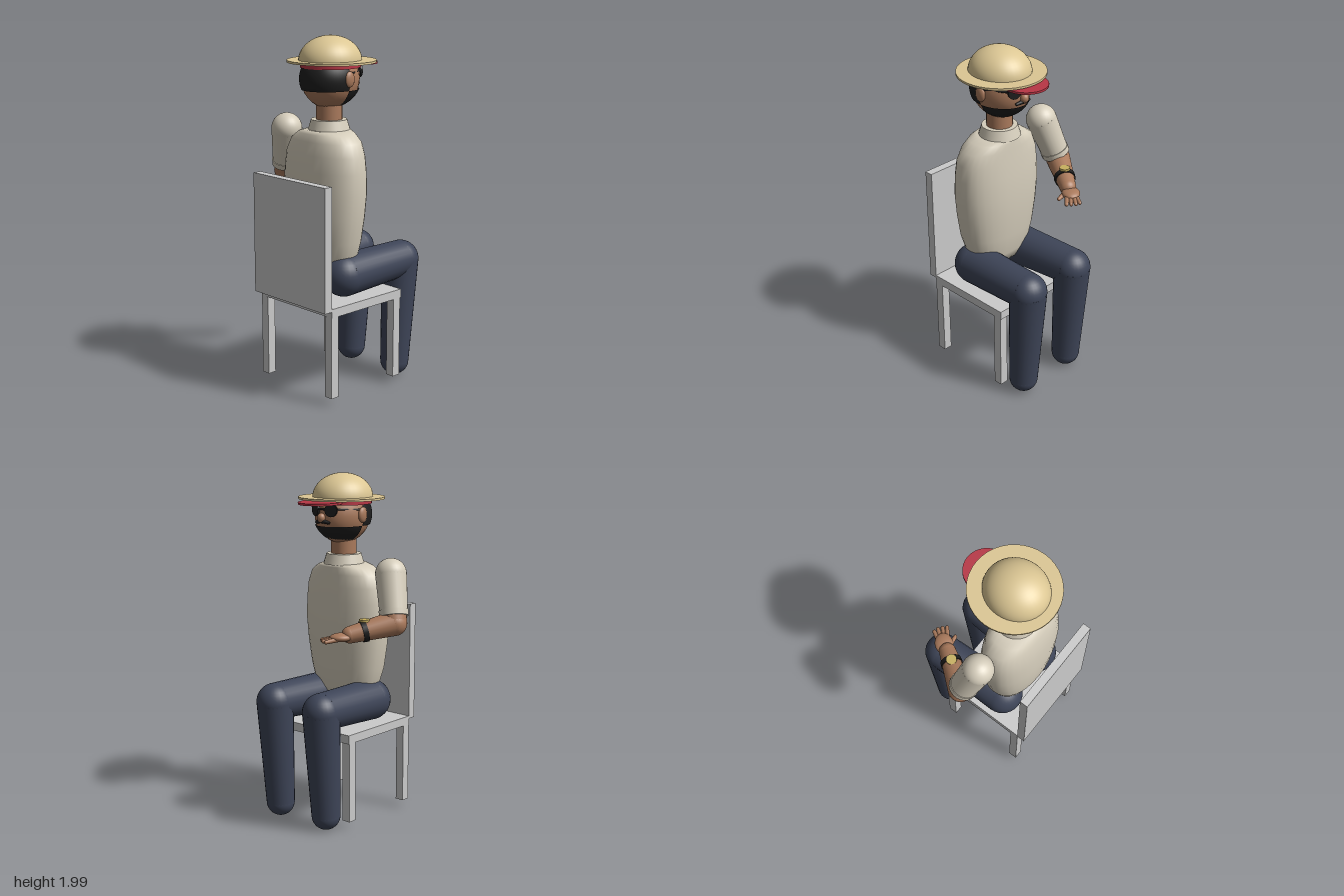
import * as THREE from 'three';

const mat = (color) => new THREE.MeshStandardMaterial({ color, side: THREE.DoubleSide });
const V = (x, y, z) => new THREE.Vector3(x, y, z);

export function createModel() {
  const root = new THREE.Group();
  const grey = mat(0xcccccc), skin = mat(0xaa7a5c), shirt = mat(0xd6cebc), denim = mat(0x3e4558);
  const straw = mat(0xdcc794), red = mat(0xb83645), black = mat(0x1e1e1e), gold = mat(0xc8b060);

  const add = (name, geo, material, x = 0, y = 0, z = 0, parent = root) => {
    const m = new THREE.Mesh(geo, material);
    m.name = name;
    m.position.set(x, y, z);
    parent.add(m);
    return m;
  };
  const ball = (name, material, p, r, sx = 1, sy = 1, sz = 1, parent = root) => {
    const m = add(name, new THREE.SphereGeometry(r, 28, 18), material, p.x, p.y, p.z, parent);
    m.scale.set(sx, sy, sz);
    return m;
  };
  // Tapered cylinder running from a to b
  const rod = (name, material, a, b, ra, rb, parent = root) => {
    const d = b.clone().sub(a);
    const mid = a.clone().add(b).multiplyScalar(0.5);
    const m = add(name, new THREE.CylinderGeometry(rb, ra, d.length(), 24), material, mid.x, mid.y, mid.z, parent);
    m.quaternion.setFromUnitVectors(V(0, 1, 0), d.normalize());
    return m;
  };

  // Chair
  const chair = new THREE.Group();
  chair.name = 'chair';
  root.add(chair);
  add('chairSeat', new THREE.BoxGeometry(0.58, 0.05, 0.545), grey, 0.1, 0.54, 0.083, chair);
  add('chairBack', new THREE.BoxGeometry(0.58, 0.69, 0.05), grey, 0.1, 0.895, 0.38, chair);
  for (const x of [-0.163, 0.363])
    for (const z of [0.33, -0.157])
      add('chairLeg', new THREE.BoxGeometry(0.052, 0.465, 0.052), grey, x, 0.2825, z, chair);

  // Legs
  for (const s of [-1, 1]) {
    const leg = new THREE.Group();
    leg.name = s < 0 ? 'rightLeg' : 'leftLeg';
    root.add(leg);
    const hip = V(0.1 + s * 0.165, 0.69, 0.145);
    const knee = V(0.1 + s * 0.18, 0.705, -0.297);
    const foot = V(0.1 + s * 0.18, 0.09, -0.26);
    ball('hip', denim, hip, 0.12, 1, 1, 1, leg);
    rod('thigh', denim, hip, knee, 0.12, 0.107, leg);
    ball('knee', denim, knee, 0.107, 1, 1, 1, leg);
    rod('shin', denim, knee, foot, 0.107, 0.083, leg);
    ball('foot', denim, foot, 0.083, 1, 1, 1, leg);
  }

  // Torso lofted through rounded sections: y, half width, half depth, centre z
  const sections = [
    [0.7, 0.001, 0.001, 0.13], [0.7, 0.17, 0.1, 0.13], [0.76, 0.205, 0.125, 0.13], [0.88, 0.24, 0.148, 0.135],
    [1.02, 0.262, 0.159, 0.134], [1.15, 0.275, 0.162, 0.132], [1.27, 0.273, 0.155, 0.13],
    [1.36, 0.262, 0.147, 0.128], [1.43, 0.232, 0.135, 0.122], [1.47, 0.175, 0.127, 0.117],
    [1.487, 0.12, 0.117, 0.11], [1.49, 0.001, 0.001, 0.1],
  ];
  const N = 32, pos = [], idx = [];
  sections.forEach(([y, w, d, cz], i) => {
    for (let j = 0; j < N; j++) {
      const a = (j / N) * Math.PI * 2, c = Math.cos(a), s = Math.sin(a), e = 0.88;
      pos.push(0.1 + w * Math.sign(c) * Math.abs(c) ** e, y, cz + d * Math.sign(s) * Math.abs(s) ** e);
      if (i) {
        const p = (i - 1) * N, q = i * N, k = (j + 1) % N;
        idx.push(p + j, q + j, p + k, p + k, q + j, q + k);
      }
    }
  });
  const torso = new THREE.BufferGeometry();
  torso.setAttribute('position', new THREE.Float32BufferAttribute(pos, 3));
  torso.setIndex(idx);
  torso.computeVertexNormals();
  add('torso', torso, shirt);
  add('collar', new THREE.CylinderGeometry(0.1, 0.118, 0.06, 28), shirt, 0.1, 1.512, 0.1);
  add('neck', new THREE.CylinderGeometry(0.073, 0.073, 0.16, 24), skin, 0.1, 1.57, 0.1);

  // Head, facing -z
  const head = new THREE.Group();
  head.name = 'head';
  head.position.set(0.1, 1.765, 0.09);
  root.add(head);
  ball('skull', skin, V(0, 0, 0), 0.165, 0.89, 1, 1.06, head);
  const shell = (name, phi, t0, t1) => {
    const m = add(name, new THREE.SphereGeometry(0.169, 28, 12, phi, Math.PI, t0, t1 - t0), black, 0, 0, 0, head);
    m.scale.set(0.93, 0.95, 1.08);
  };
  shell('hair', 0, 1.0, 1.94);
  shell('beard', Math.PI, 1.94, Math.PI);
  for (const s of [-1, 1]) {
    ball('ear', skin, V(s * 0.15, 0.005, 0), 0.042, 0.42, 1.05, 0.8, head);
    const lens = add('sunglassLens', new THREE.CylinderGeometry(0.037, 0.037, 0.014, 24), black, s * 0.057, 0.035, -0.164, head);
    lens.rotation.set(Math.PI / 2, 0, s * 0.35);
    rod('sunglassArm', black, V(s * 0.09, 0.042, -0.145), V(s * 0.15, 0.035, -0.005), 0.006, 0.006, head);
    rod('moustache', black, V(0, -0.025, -0.182), V(s * 0.05, -0.036, -0.168), 0.013, 0.008, head);
  }
  rod('sunglassBridge', black, V(-0.03, 0.04, -0.175), V(0.03, 0.04, -0.175), 0.006, 0.006, head);
  ball('nose', skin, V(0, -0.008, -0.183), 0.024, 1, 1.1, 1, head);

  // Red cap under the straw hat
  const band = add('capBand', new THREE.CylinderGeometry(0.162, 0.162, 0.03, 32), red, 0.1, 1.842, 0.09);
  band.scale.z = 1.06;
  const visor = add('capVisor', new THREE.CylinderGeometry(0.125, 0.125, 0.012, 32), red, 0.1, 1.841, -0.1);
  add('hatBrim', new THREE.CylinderGeometry(0.247, 0.247, 0.012, 40), straw, 0.1, 1.86, 0.08);
  const crown = add('hatCrown', new THREE.SphereGeometry(0.168, 36, 14, 0, Math.PI * 2, 0, Math.PI / 2), straw, 0.1, 1.86, 0.091);
  crown.scale.set(1, 0.833, 1.08);
  visor.rotation.x = -0.02;

  // Right arm, bent across the front
  const arm = new THREE.Group();
  arm.name = 'rightArm';
  root.add(arm);
  const shoulder = V(-0.243, 1.452, 0.108), elbow = V(-0.322, 1.19, 0.045), wrist = V(-0.178, 1.138, -0.165);
  const at = (a, b, t) => a.clone().lerp(b, t);
  ball('shoulder', shirt, shoulder, 0.089, 1, 1, 1, arm);
  rod('sleeve', shirt, shoulder, at(shoulder, elbow, 0.82), 0.089, 0.079, arm);
  rod('sleeveCuff', shirt, at(shoulder, elbow, 0.74), at(shoulder, elbow, 0.86), 0.084, 0.082, arm);
  rod('upperArm', skin, at(shoulder, elbow, 0.7), elbow, 0.072, 0.07, arm);
  ball('elbow', skin, elbow, 0.071, 1, 1, 1, arm);
  rod('forearm', skin, elbow, wrist, 0.071, 0.048, arm);
  ball('wrist', skin, wrist, 0.048, 1, 1, 1, arm);

  // Watch
  rod('watchBand', black, at(elbow, wrist, 0.64), at(elbow, wrist, 0.75), 0.062, 0.06, arm);
  add('watchFace', new THREE.CylinderGeometry(0.03, 0.03, 0.014, 24), gold, -0.224, 1.214, -0.097, arm);

  // Open hand
  const palm = ball('palm', skin, V(-0.152, 1.127, -0.212), 0.055, 0.95, 0.45, 1.15, arm);
  palm.rotation.y = -0.7;
  const digits = [
    [-0.162, -0.235, -0.125, -0.305], [-0.147, -0.235, -0.1, -0.298],
    [-0.132, -0.225, -0.079, -0.282], [-0.119, -0.213, -0.06, -0.264],
    [-0.14, -0.18, -0.075, -0.192],
  ];
  digits.forEach(([x0, z0, x1, z1], i) => {
    const name = i < 4 ? 'finger' : 'thumb';
    const a = V(x0, 1.122, z0), b = V(x1, 1.11, z1);
    rod(name, skin, a, b, 0.015, 0.011, arm);
    ball(name + 'Base', skin, a, 0.015, 1, 1, 1, arm);
    ball(name + 'Tip', skin, b, 0.011, 1, 1, 1, arm);
  });

  return root;
}
